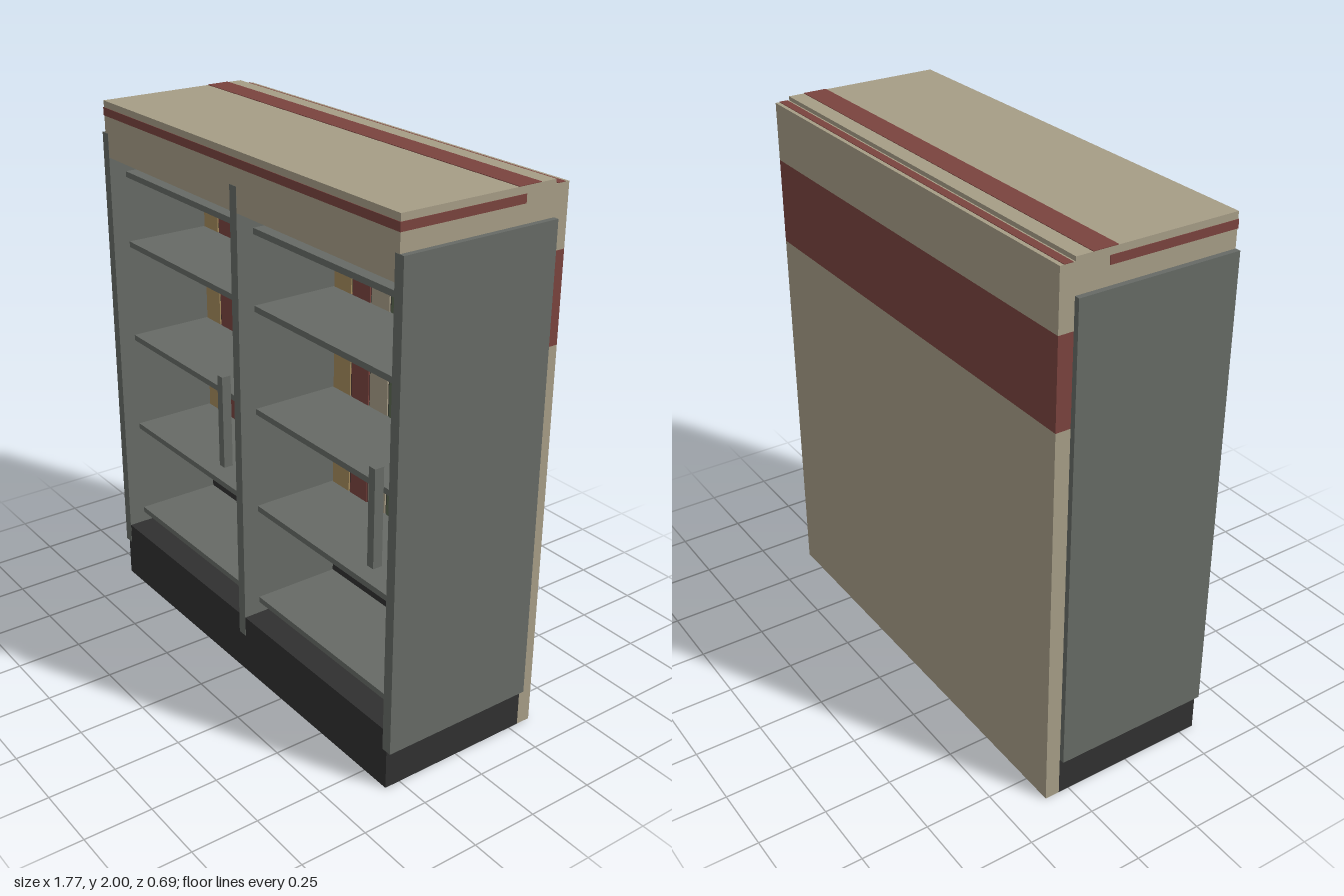
import * as THREE from 'three';

const paint = (name, color) => {
  const m = new THREE.MeshStandardMaterial({ color });
  m.name = name;
  return m;
};

export function createModel() {
  const cream = paint('cream', 0xa69d86);
  const red = paint('dark red', 0x7a433e);
  const grey = paint('grey metal', 0x666a65);
  const dark = paint('charcoal', 0x303030);
  const ochre = paint('ochre', 0xa48a5c);
  const green = paint('green', 0x5b6852);

  const model = new THREE.Group();
  model.name = 'displayCabinet';

  // Box given by its minimum and maximum on each axis
  const box = (name, mat, [x0, x1], [y0, y1], [z0, z1], parent = model) => {
    const mesh = new THREE.Mesh(new THREE.BoxGeometry(x1 - x0, y1 - y0, z1 - z0), mat);
    mesh.position.set((x0 + x1) / 2, (y0 + y1) / 2, (z0 + z1) / 2);
    mesh.name = name;
    parent.add(mesh);
    return mesh;
  };

  const W = 0.865, back = -0.29, front = 0.31;

  // Plinth and header
  box('base', dark, [-W, W], [0, 0.23], [back, front]);
  box('header', cream, [-W, W], [1.79, 2], [back, front]);
  box('headerFrontStripe', red, [-W, W], [1.945, 1.975], [front, front + 0.002]);
  box('headerTopStripe', red, [-W, W], [2, 2.002], [-0.23, -0.14]);
  for (const s of [-1, 1]) {
    const x = s * (W + 0.001);
    box('headerSideStripe', red, [x - 0.001, x + 0.001], [1.945, 1.975], [-0.17, front + 0.002]);
  }

  // Back panel with a broad band
  box('backPanelLower', cream, [-W, W], [0, 1.45], [-0.345, back]);
  box('backPanelBand', red, [-W, W], [1.45, 1.77], [-0.345, back]);
  box('backPanelUpper', cream, [-W, W], [1.77, 1.985], [-0.345, back]);
  box('backPanelTopStripe', red, [-W, W], [1.985, 1.987], [-0.33, -0.298]);

  // Side panels and centre divider
  for (const s of [-1, 1]) {
    const x = s * W;
    box('sidePanel', grey, [x - 0.02, x + 0.02], [0.15, 1.88], [back, front + 0.001]);
  }
  box('centreDivider', grey, [-0.02, 0.02], [0.15, 1.88], [back + 0.01, front + 0.001]);

  // Product column: flat plate with clipped corners
  const column = (w, h, c = 0.012) => {
    const s = new THREE.Shape();
    s.moveTo(c, 0);
    s.lineTo(w - c, 0);
    s.lineTo(w, c * 2);
    s.lineTo(w, h - c);
    s.lineTo(w - c, h);
    s.lineTo(c, h);
    s.lineTo(0, h - c);
    s.lineTo(0, c * 2);
    return new THREE.ExtrudeGeometry(s, { depth: 0.005, bevelEnabled: false });
  };
  const columnColours = [ochre, red, cream, green, red, ochre, red, green];

  // Two matching bays with lining, products, shelves and handle
  for (const x0 of [-0.835, 0.025]) {
    const bay = new THREE.Group();
    bay.name = x0 < 0 ? 'rightBay' : 'leftBay';
    bay.position.x = x0;
    model.add(bay);
    const width = 0.81;

    box('bayBackWall', dark, [0, width], [0.23, 1.73], [-0.17, -0.09], bay);

    columnColours.forEach((mat, i) => {
      const x = 0.004 + i * 0.106;
      const w = Math.min(mat === green ? 0.108 : 0.097, width - 0.002 - x);
      const product = new THREE.Mesh(column(w, 1.31), mat);
      product.position.set(x, 0.34, -0.09);
      product.name = 'productColumn';
      bay.add(product);
    });

    for (const y of [0.29, 0.675, 1.06, 1.445, 1.72]) {
      box('shelf', grey, [0, width], [y - 0.011, y + 0.011], [-0.09, 0.25], bay);
    }
    box('doorHandle', grey, [0.762, 0.793], [0.84, 1.19], [front, 0.345], bay);
  }

  return model;
}
